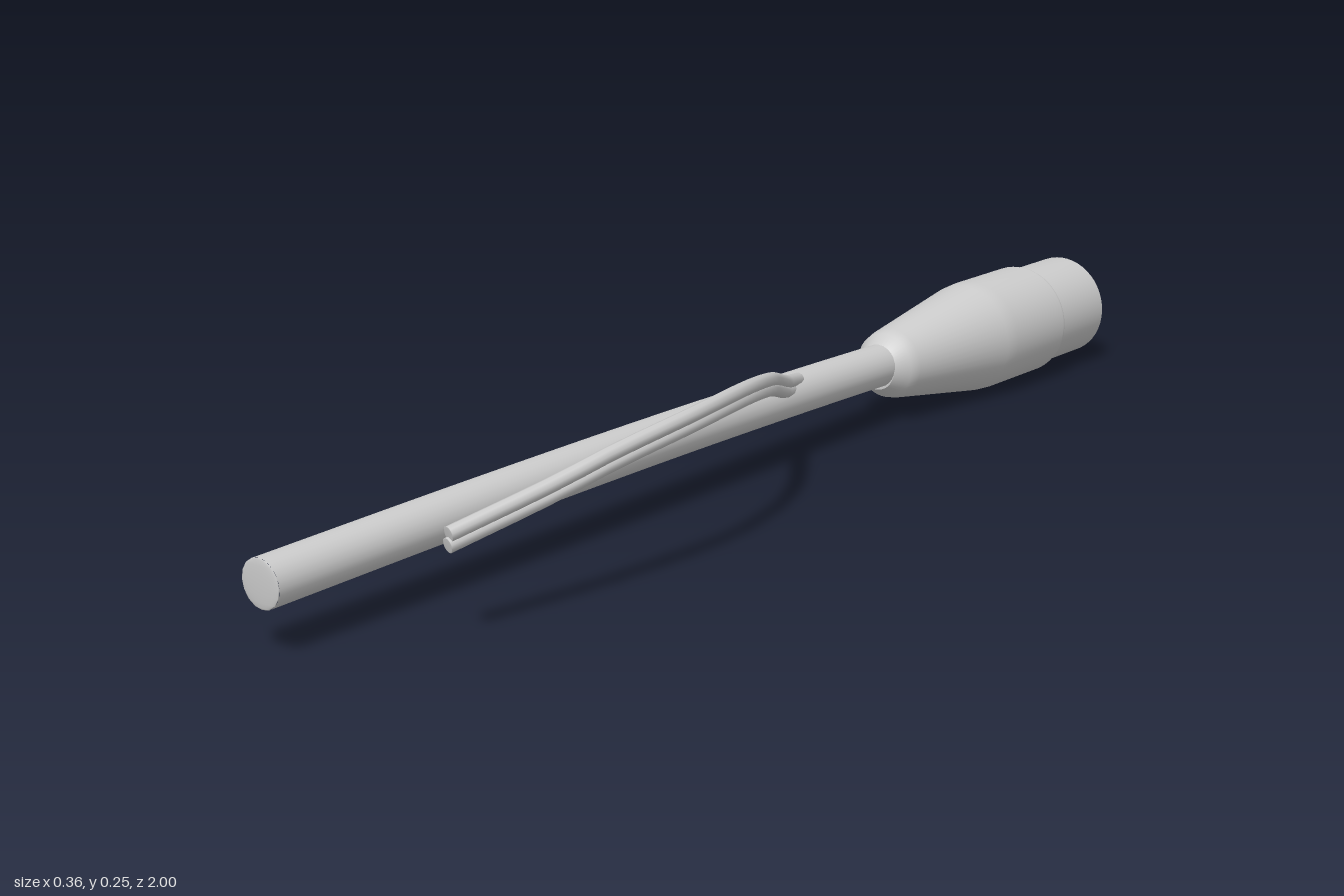
import * as THREE from 'three';

const material = new THREE.MeshStandardMaterial({ color: 0xcccccc });
const V = (x, y, z) => new THREE.Vector3(x, y, z);

function addMesh(parent, geometry, name) {
  const mesh = new THREE.Mesh(geometry, material);
  mesh.name = name;
  parent.add(mesh);
  return mesh;
}

// Round cord along a smooth curve, closed by a shallow cap at each end
function cord(name, points, radius, segments, sides, bulge) {
  const group = new THREE.Group();
  group.name = name;
  const curve = new THREE.CatmullRomCurve3(points);
  addMesh(group, new THREE.TubeGeometry(curve, segments, radius, sides), name + 'Tube');
  for (const t of [0, 1]) {
    const cap = addMesh(group, new THREE.SphereGeometry(radius, sides, 8), name + 'Cap');
    cap.scale.z = bulge;
    cap.position.copy(curve.getPointAt(t));
    cap.quaternion.setFromUnitVectors(V(0, 0, 1), curve.getTangentAt(t));
  }
  return group;
}

// Turned plug body; each section is [radius, z], sharp between separate strips
function plug() {
  const group = new THREE.Group();
  group.name = 'plug';
  const strips = {
    socketFloor: [[0, -0.9], [0.034, -0.9]],
    socketWall: [[0.034, -0.9], [0.034, -0.997]],
    backFace: [[0.034, -0.997], [0.038, -1], [0.084, -1]],
    rearCollar: [[0.084, -1], [0.088, -0.995], [0.088, -0.855]],
    step: [[0.088, -0.855], [0.094, -0.855]],
    taperedGrip: [[0.094, -0.855], [0.096, -0.848], [0.096, -0.7], [0.094, -0.67],
      [0.06, -0.45], [0.055, -0.43], [0.037, -0.405]],
    frontFace: [[0.037, -0.405], [0, -0.405]],
  };
  for (const [name, profile] of Object.entries(strips)) {
    const geometry = new THREE.LatheGeometry(profile.map(([r, z]) => new THREE.Vector2(r, z)), 48);
    addMesh(group, geometry.rotateX(Math.PI / 2), name);
  }
  group.position.set(-0.087, 0.097, 0);
  return group;
}

export function createModel() {
  const model = new THREE.Group();
  model.add(plug());

  // Main cable, gently bowed
  model.add(cord('mainCable', [
    V(-0.087, 0.1, -0.45), V(-0.075, 0.109, -0.15), V(-0.064, 0.115, 0.2),
    V(-0.06, 0.113, 0.6), V(-0.066, 0.103, 0.997),
  ], 0.036, 40, 24, 0.08));

  // Thin paired lead that branches off the cable
  const path = [
    [-0.062, 0.128, -0.15], [-0.045, 0.137, -0.1], [0.005, 0.167, -0.01], [0.082, 0.206, 0.115],
    [0.136, 0.228, 0.24], [0.168, 0.23, 0.4], [0.158, 0.21, 0.56], [0.14, 0.187, 0.66],
    [0.1, 0.15, 0.82],
  ];
  for (const side of [-1, 1]) {
    const points = path.map(([x, y, z]) => V(x + side * 0.001, y + side * 0.008, z));
    model.add(cord(side > 0 ? 'upperLeadWire' : 'lowerLeadWire', points, 0.011, 20, 10, 0.05));
  }
  return model;
}
